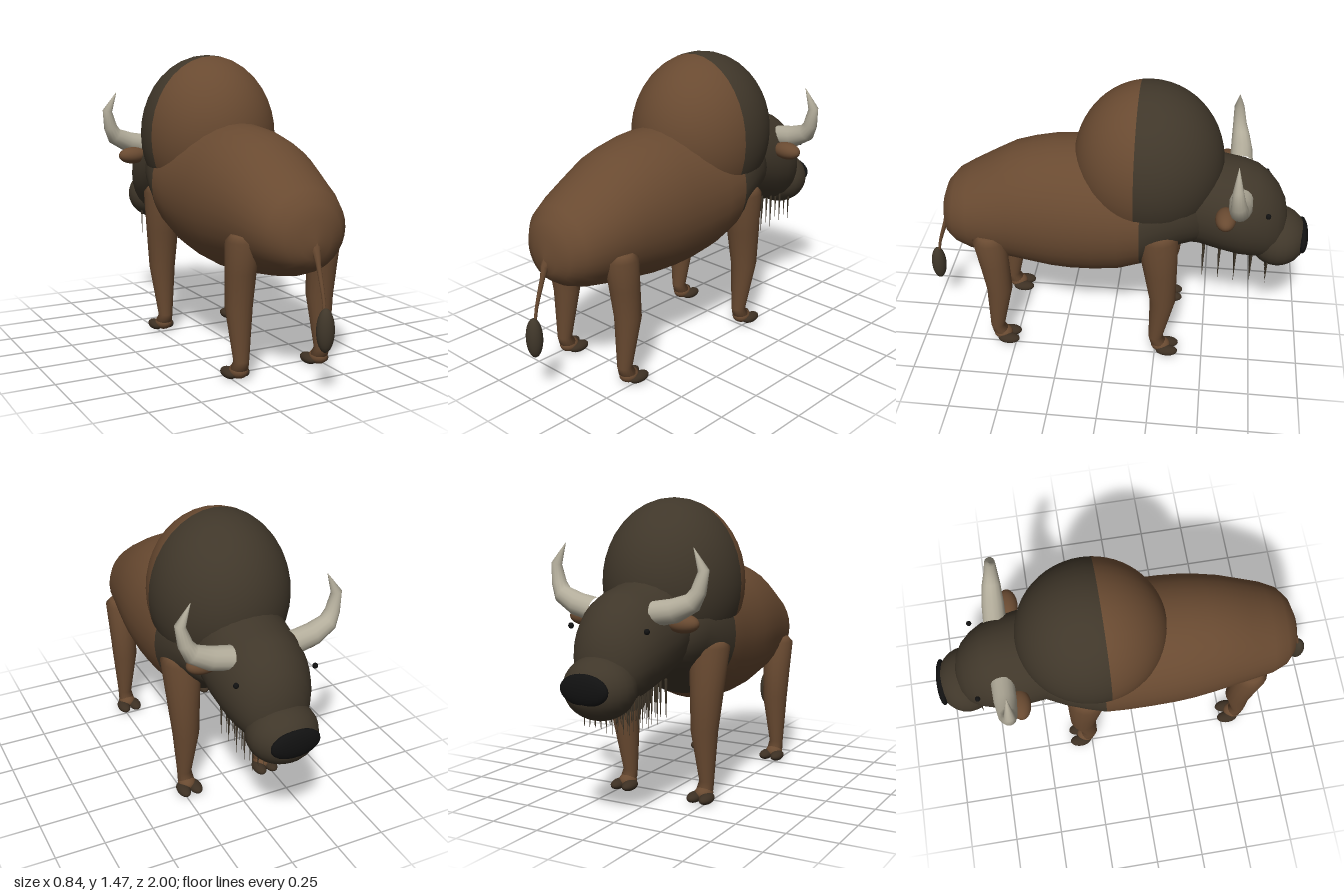
import * as THREE from 'three';

const mat = (name, color) => {
  const m = new THREE.MeshStandardMaterial({ color });
  m.name = name;
  return m;
};

// Skin through elliptical rings [x, y, z, r1, r2]; dir fixes the ring plane, otherwise it follows the path
function sweep(rings, sides, ref, dir, split) {
  const pos = [], idx = [];
  const pts = rings.map(r => new THREE.Vector3(r[0], r[1], r[2]));
  const n = rings.length;
  pts.forEach((p, i) => {
    const t = dir ? dir.clone() : pts[Math.min(i + 1, n - 1)].clone().sub(pts[Math.max(i - 1, 0)]);
    t.normalize();
    const side = t.clone().cross(ref).normalize();
    const up = side.clone().cross(t);
    const [r1, r2 = r1] = rings[i].slice(3);
    for (let j = 0; j < sides; j++) {
      const a = j / sides * Math.PI * 2;
      const v = p.clone().addScaledVector(side, r1 * Math.cos(a)).addScaledVector(up, r2 * Math.sin(a));
      pos.push(v.x, v.y, v.z);
    }
  });
  for (let i = 0; i < n - 1; i++) {
    for (let j = 0; j < sides; j++) {
      const a = i * sides + j, b = i * sides + (j + 1) % sides;
      idx.push(a, a + sides, b, b, a + sides, b + sides);
    }
  }
  const g = new THREE.BufferGeometry();
  g.setAttribute('position', new THREE.Float32BufferAttribute(pos, 3));
  g.setIndex(idx);
  g.computeVertexNormals();
  if (split) {
    g.addGroup(0, split * sides * 6, 0);
    g.addGroup(split * sides * 6, Infinity, 1);
  }
  return g;
}

const X = new THREE.Vector3(1, 0, 0), Y = new THREE.Vector3(0, 1, 0), Z = new THREE.Vector3(0, 0, 1);
const FORWARD = new THREE.Vector3(0, 0, -1), DOWN = new THREE.Vector3(0, -1, 0);

// Side profile rows [z, top, bottom, half width] to rings
const profile = rows => rows.map(([z, top, bot, w]) => [0, (top + bot) / 2, z, w, (top - bot) / 2]);

export function createModel() {
  const model = new THREE.Group();
  model.name = 'bison';
  const brown = mat('brown coat', 0x694a31);
  const dark = mat('dark mane', 0x40372a);
  const hoofMat = mat('hoof brown', 0x3d3023);
  const hornMat = mat('horn', 0xb3ad9b);
  const black = mat('black', 0x111111);

  const add = (name, geo, material, parent = model) => {
    const m = new THREE.Mesh(geo, material);
    m.name = name;
    parent.add(m);
    return m;
  };
  const ball = (name, x, y, z, rx, ry, rz, material, parent) => {
    const m = add(name, new THREE.SphereGeometry(1, 24, 16), material, parent);
    m.position.set(x, y, z);
    m.scale.set(rx, ry, rz);
    return m;
  };

  // Trunk from rump to chest, dark at the chest
  const trunk = profile([
    [0.885, 0.69, 0.67, 0.004], [0.875, 0.79, 0.61, 0.08], [0.85, 0.86, 0.57, 0.15],
    [0.8, 0.92, 0.535, 0.205], [0.72, 0.97, 0.505, 0.24], [0.6, 1.04, 0.48, 0.265],
    [0.5, 1.095, 0.465, 0.285], [0.4, 1.125, 0.45, 0.302], [0.3, 1.145, 0.435, 0.315],
    [0.2, 1.153, 0.43, 0.322], [0.08, 1.153, 0.435, 0.325], [-0.05, 1.153, 0.455, 0.328],
    [-0.16, 1.15, 0.5, 0.33], [-0.25, 1.15, 0.57, 0.315], [-0.35, 1.12, 0.635, 0.285],
    [-0.45, 1.05, 0.66, 0.23], [-0.52, 0.98, 0.72, 0.12], [-0.54, 0.86, 0.84, 0.004],
  ]);
  add('trunk', sweep(trunk, 32, Y, FORWARD, 12), [brown, dark]);

  // Shoulder hump: brown behind, dark in front
  const border = Math.acos(0.05 / 0.37);
  const humpPart = (name, start, length, material) => {
    const g = new THREE.SphereGeometry(1, 36, 14, 0, Math.PI * 2, start, length);
    g.rotateX(Math.PI / 2);
    const m = add(name, g, material);
    m.scale.set(0.345, 0.41, 0.37);
    m.position.set(0, 1.067, -0.18);
  };
  humpPart('humpRear', 0, border, brown);
  humpPart('humpMane', border, Math.PI - border, dark);

  // Head, muzzle and nose
  const head = new THREE.Group();
  head.name = 'head';
  model.add(head);
  add('skull', sweep(profile([
    [-0.33, 1.12, 0.64, 0.23], [-0.45, 1.13, 0.63, 0.235], [-0.55, 1.095, 0.6, 0.235],
    [-0.65, 1.078, 0.57, 0.226], [-0.72, 1.055, 0.56, 0.21], [-0.78, 1.01, 0.555, 0.185],
    [-0.83, 0.95, 0.56, 0.15], [-0.865, 0.88, 0.58, 0.105], [-0.882, 0.8, 0.64, 0.05],
    [-0.885, 0.73, 0.71, 0.004],
  ]), 28, Y, FORWARD), dark, head);
  ball('muzzle', 0, 0.657, -0.845, 0.172, 0.147, 0.15, dark, head);
  ball('nose', 0, 0.668, -0.97, 0.125, 0.072, 0.03, black, head);

  // Beard: rows of thin hanging spikes
  const beard = new THREE.Group();
  beard.name = 'beard';
  head.add(beard);
  const spike = new THREE.ConeGeometry(0.008, 0.21, 6);
  spike.rotateX(Math.PI);
  for (let row = 0; row < 5; row++) {
    for (let k = -4; k <= 4; k++) {
      add('beardSpike', spike, dark, beard).position.set(k * 0.03, 0.535, -0.475 - row * 0.081);
    }
  }

  for (const s of [1, -1]) {
    const side = s > 0 ? 'left' : 'right';
    ball(side + 'Eye', s * 0.2, 0.91, -0.775, 0.013, 0.014, 0.013, black, head);
    ball(side + 'Ear', s * 0.265, 0.925, -0.57, 0.08, 0.045, 0.05, brown, head);

    // Horn: thick base outward, then bent up to a point
    add(side + 'Horn', sweep([
      [s * 0.16, 0.97, -0.64, 0.058], [s * 0.26, 0.99, -0.637, 0.056],
      [s * 0.345, 1.03, -0.63, 0.046], [s * 0.372, 1.08, -0.622, 0.036],
      [s * 0.392, 1.17, -0.613, 0.026], [s * 0.34, 1.27, -0.61, 0.001],
    ], 14, Z), hornMat, head);

    // Legs: rows [y, x, z, x radius, z radius]
    const leg = (name, rows, toeZ) => {
      const g = new THREE.Group();
      g.name = side + name;
      model.add(g);
      const rings = rows.map(([y, x, z, rx, rz]) => [s * x, y, z, rx, rz]);
      add('limb', sweep(rings, 18, Z, DOWN), brown, g);
      ball('foot', s * 0.22, 0.045, toeZ + 0.035, 0.045, 0.036, 0.05, brown, g);
      for (const d of [-1, 1]) {
        ball('toe', s * 0.22 + d * 0.033, 0.03, toeZ, 0.033, 0.026, 0.058, hoofMat, g);
      }
    };
    leg('FrontLeg', [
      [0.803, 0.23, -0.245, 0.004, 0.004], [0.8, 0.23, -0.245, 0.075, 0.08],
      [0.77, 0.23, -0.245, 0.1, 0.105], [0.56, 0.227, -0.265, 0.083, 0.086],
      [0.36, 0.223, -0.283, 0.068, 0.067], [0.1, 0.22, -0.252, 0.037, 0.037],
      [0.06, 0.22, -0.27, 0.042, 0.045], [0.02, 0.22, -0.285, 0.02, 0.02],
    ], -0.315);
    leg('RearLeg', [
      [0.702, 0.22, 0.61, 0.004, 0.004], [0.698, 0.22, 0.61, 0.055, 0.055],
      [0.67, 0.22, 0.608, 0.08, 0.085], [0.52, 0.22, 0.59, 0.073, 0.076],
      [0.36, 0.22, 0.573, 0.066, 0.067], [0.1, 0.22, 0.6, 0.037, 0.037],
      [0.06, 0.22, 0.582, 0.042, 0.045], [0.02, 0.22, 0.567, 0.02, 0.02],
    ], 0.538);
  }

  // Tail with tuft
  add('tail', sweep([
    [0, 0.68, 0.85, 0.035], [0, 0.645, 0.88, 0.02], [0, 0.6, 0.895, 0.012],
    [0, 0.52, 0.922, 0.01], [0, 0.46, 0.94, 0.008], [0, 0.38, 0.955, 0.007],
  ], 10, X), brown);
  ball('tailTuft', 0, 0.315, 0.961, 0.042, 0.1, 0.039, dark);
  return model;
}
